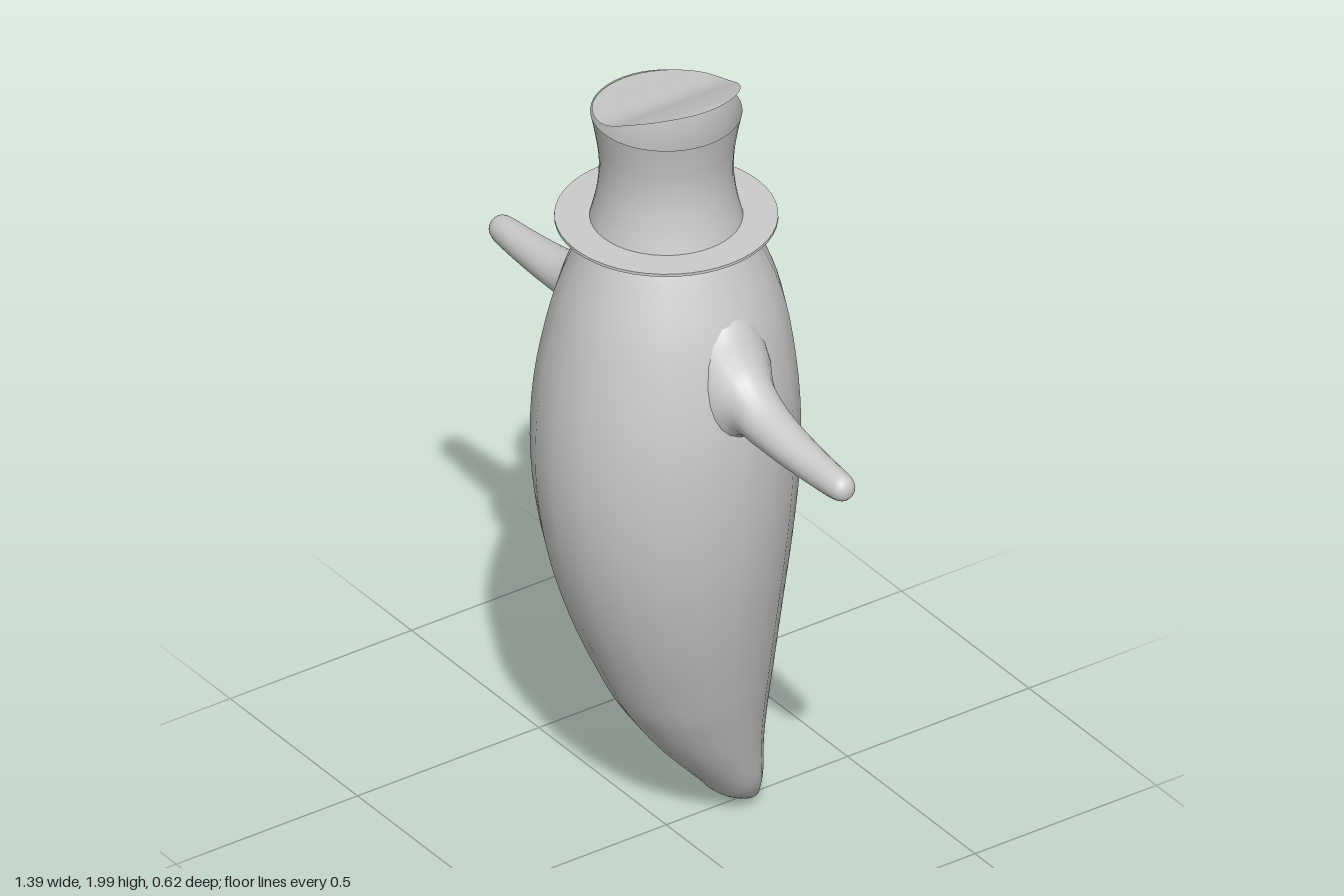
import * as THREE from 'three';

const grey = new THREE.MeshStandardMaterial({ color: 0xcccccc });
const greyThin = new THREE.MeshStandardMaterial({ color: 0xcccccc, side: THREE.DoubleSide });

// Smooth skin over elliptical rings; each row is [x, y, z, radiusA, radiusB], and a x b points along the path.
function loft(rows, a, b, sides, steps) {
  const centres = new THREE.CatmullRomCurve3(rows.map(r => new THREE.Vector3(r[0], r[1], r[2])), false, 'catmullrom');
  const radii = new THREE.CatmullRomCurve3(rows.map(r => new THREE.Vector3(r[3], r[4], 0)), false, 'catmullrom');
  const pos = [], index = [];
  for (let i = 0; i <= steps; i++) {
    const c = centres.getPoint(i / steps), r = radii.getPoint(i / steps);
    for (let j = 0; j < sides; j++) {
      const t = (j / sides) * Math.PI * 2;
      const p = c.clone().addScaledVector(a, r.x * Math.cos(t)).addScaledVector(b, r.y * Math.sin(t));
      pos.push(p.x, p.y, p.z);
      if (i < steps) {
        const k = i * sides + j, n = i * sides + (j + 1) % sides;
        index.push(k, n, n + sides, k, n + sides, k + sides);
      }
    }
  }
  const g = new THREE.BufferGeometry();
  g.setAttribute('position', new THREE.Float32BufferAttribute(pos, 3));
  g.setIndex(index);
  g.computeVertexNormals();
  return g;
}

export function createModel() {
  const model = new THREE.Group();
  const add = (name, geometry, material, parent = model) => {
    const m = new THREE.Mesh(geometry, material);
    m.name = name;
    parent.add(m);
    return m;
  };
  const X = new THREE.Vector3(1, 0, 0), Z = new THREE.Vector3(0, 0, 1);

  // Body: height, front z, back z, half width; the tail tip curls to the back
  const body = [
    [0.005, -0.22, -0.22, 0], [0.018, -0.185, -0.243, 0.034], [0.05, -0.13, -0.246, 0.064],
    [0.1, -0.085, -0.245, 0.092], [0.2, 0.005, -0.241, 0.126], [0.3, 0.08, -0.246, 0.157],
    [0.4, 0.138, -0.254, 0.187], [0.6, 0.225, -0.27, 0.24], [0.8, 0.284, -0.29, 0.28],
    [1.0, 0.31, -0.306, 0.3], [1.2, 0.301, -0.3, 0.298], [1.4, 0.262, -0.273, 0.264],
    [1.54, 0.215, -0.224, 0.215], [1.63, 0.174, -0.178, 0.174], [1.68, 0.13, -0.13, 0.13], [1.71, 0, 0, 0],
  ].map(([y, f, b, w]) => [0, y, (f + b) / 2, (f - b) / 2, w]);
  add('body', loft(body, Z, X, 20, 60), grey);

  // Arms: x, bottom y, top y, back z, front z; they flare into the shoulders
  const arm = [
    [0.2, 1.06, 1.51, -0.13, 0.1], [0.25, 1.12, 1.46, -0.115, 0.085], [0.285, 1.18, 1.405, -0.095, 0.065],
    [0.32, 1.206, 1.36, -0.08, 0.046], [0.38, 1.209, 1.322, -0.073, 0.04], [0.46, 1.209, 1.303, -0.064, 0.035],
    [0.56, 1.209, 1.29, -0.056, 0.027], [0.64, 1.212, 1.284, -0.049, 0.02], [0.675, 1.217, 1.278, -0.045, 0.014],
    [0.69, 1.228, 1.265, -0.034, 0.002], [0.695, 1.247, 1.247, -0.016, -0.016],
  ];
  for (const side of [1, -1]) {
    const rows = arm.map(([x, y0, y1, z0, z1]) =>
      [side * x, (y0 + y1) / 2, (z0 + z1) / 2, (y1 - y0) / 2, (z1 - z0) / 2]);
    add(side > 0 ? 'leftArm' : 'rightArm', loft(rows, new THREE.Vector3(0, side, 0), Z, 20, 40), grey);
  }

  // Hat: flat brim, waisted open crown and a bent lid that lifts on one side
  const hat = new THREE.Group();
  hat.name = 'hat';
  model.add(hat);
  const v = (x, y) => new THREE.Vector2(x, y);

  const brim = new THREE.LatheGeometry(
    [v(0.165, 1.63), v(0.253, 1.63), v(0.253, 1.637), v(0.165, 1.637)], 48).toNonIndexed();
  brim.computeVertexNormals();
  add('hatBrim', brim, greyThin, hat);

  const crown = new THREE.SplineCurve([
    v(0.174, 1.635), v(0.161, 1.69), v(0.153, 1.75), v(0.154, 1.81), v(0.163, 1.87), v(0.172, 1.915)]);
  add('hatCrown', new THREE.LatheGeometry(crown.getPoints(24), 48), greyThin, hat);

  const bend = new THREE.SplineCurve([
    v(-0.17, 1.914), v(-0.085, 1.923), v(0, 1.936), v(0.085, 1.972), v(0.17, 2.0)]);
  const lid = new THREE.RingGeometry(0, 0.168, 48, 10).rotateX(-Math.PI / 2);
  const p = lid.attributes.position;
  for (let i = 0; i < p.count; i++) p.setY(i, bend.getPoint((p.getX(i) + 0.17) / 0.34).y);
  lid.computeVertexNormals();
  add('hatLid', lid, greyThin, hat);

  return model;
}
